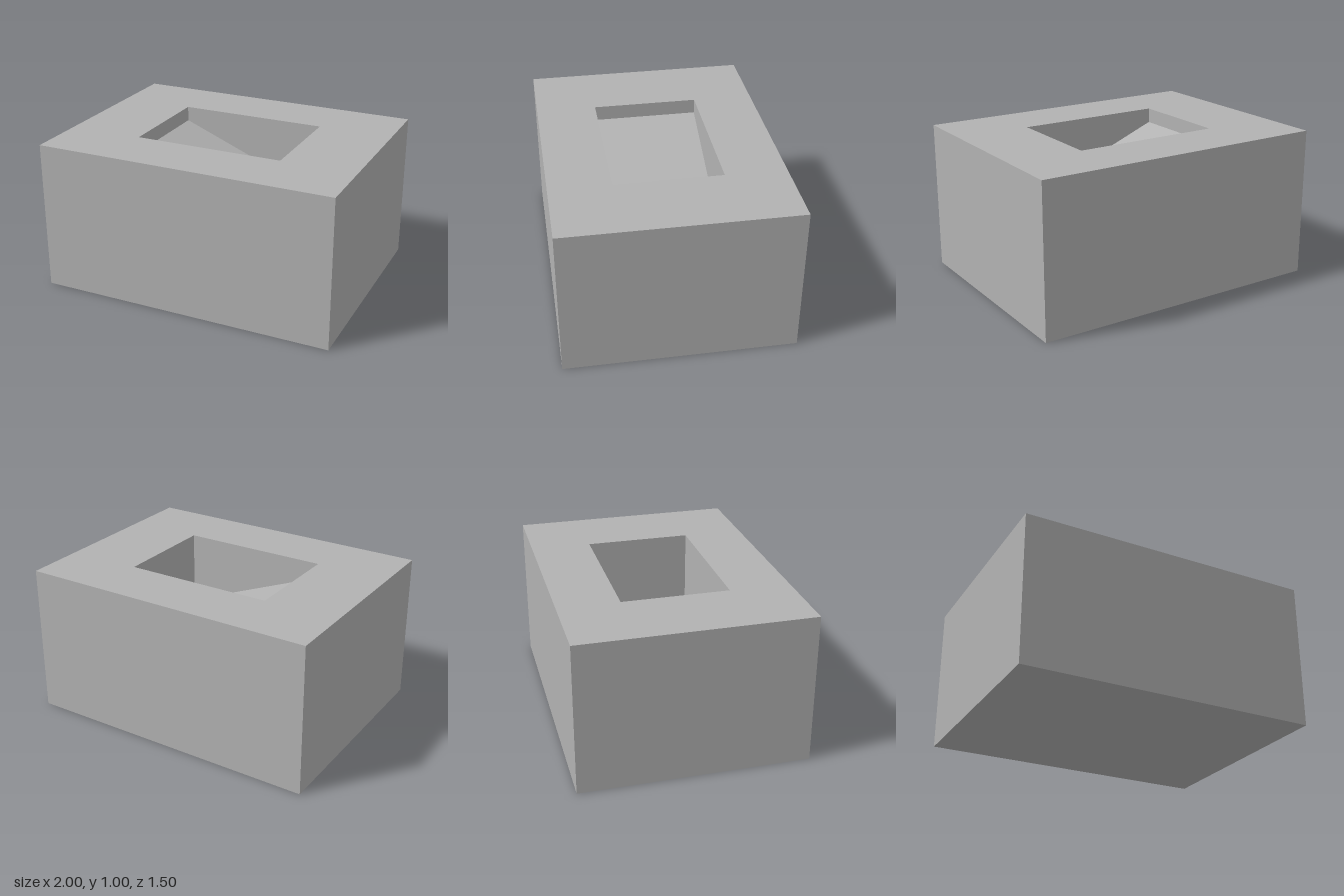
import * as THREE from 'three';

// Four corners of a rectangle, counter-clockwise from above; leftY and rightY
// are the heights at -x and +x, so a loop can slope.
function rectLoop(halfX, halfZ, leftY, rightY = leftY) {
  return [
    [-halfX, leftY, halfZ],
    [halfX, rightY, halfZ],
    [halfX, rightY, -halfZ],
    [-halfX, leftY, -halfZ],
  ];
}

// Joins successive loops with quads and caps both ends, keeping hard edges.
function skinLoops(loops) {
  const positions = [];
  const quad = (a, b, c, d) => positions.push(...a, ...b, ...c, ...a, ...c, ...d);
  for (let k = 0; k < loops.length - 1; k++) {
    for (let i = 0; i < 4; i++) {
      const j = (i + 1) % 4;
      quad(loops[k][i], loops[k][j], loops[k + 1][j], loops[k + 1][i]);
    }
  }
  quad(...[...loops[0]].reverse());
  quad(...loops[loops.length - 1]);
  const geometry = new THREE.BufferGeometry();
  geometry.setAttribute('position', new THREE.Float32BufferAttribute(positions, 3));
  geometry.computeVertexNormals();
  return geometry;
}

export function createModel() {
  const group = new THREE.Group();
  group.name = 'pocketedBlock';

  const grey = new THREE.MeshStandardMaterial({ color: 0xb2b2b2 });
  grey.name = 'grey';

  // Solid block with a rectangular pocket whose floor slopes down towards +x
  const block = new THREE.Mesh(
    skinLoops([
      rectLoop(1, 0.75, 0), // base
      rectLoop(1, 0.75, 1), // top outer edge
      rectLoop(0.5, 0.35, 1), // pocket rim
      rectLoop(0.5, 0.35, 0.9, 0.5), // sloping pocket floor
    ]),
    grey
  );
  block.name = 'block';
  group.add(block);

  return group;
}
